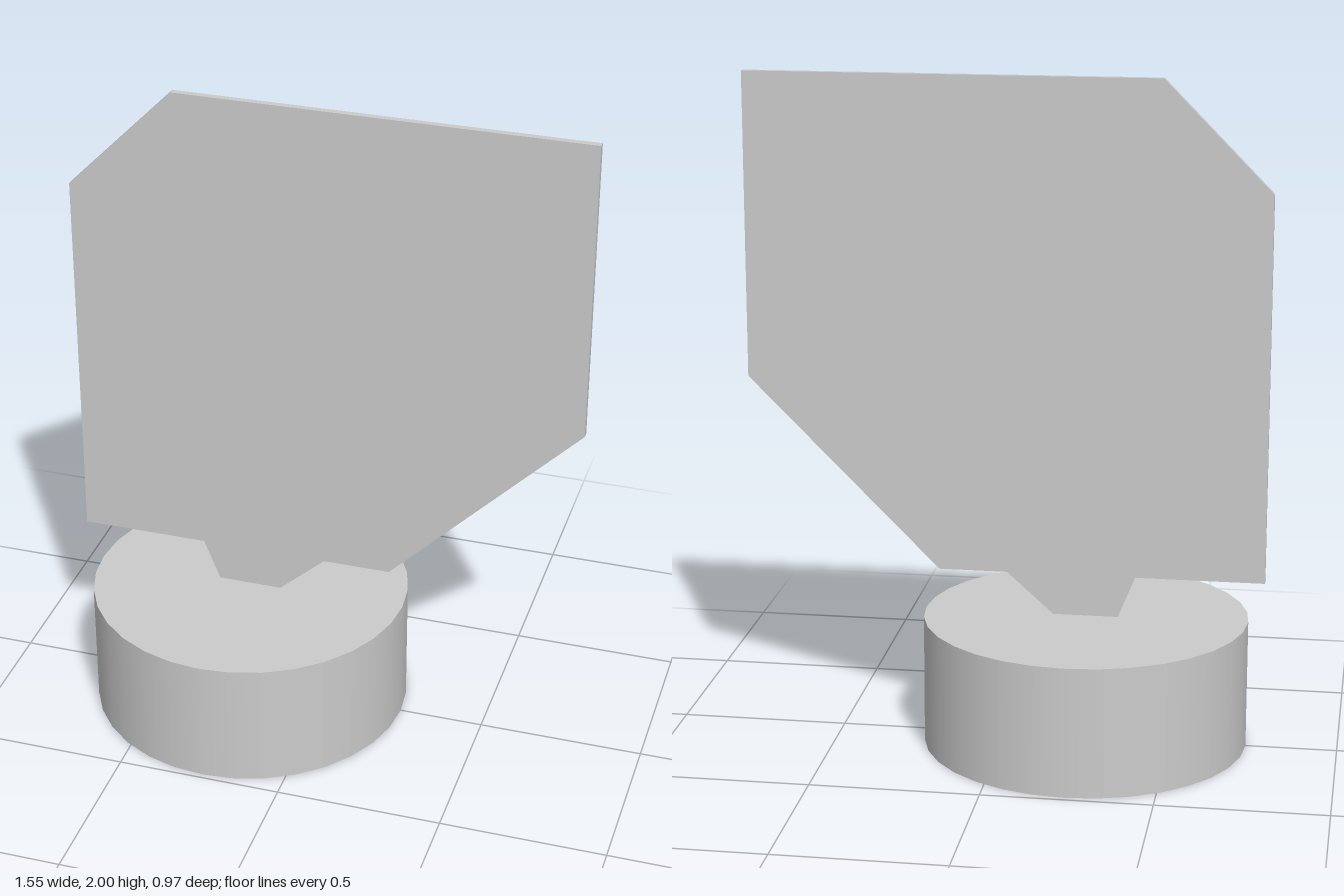
import * as THREE from 'three';

export function createModel() {
  const model = new THREE.Group();
  const grey = new THREE.MeshStandardMaterial({ color: 0xcccccc, side: THREE.DoubleSide });

  const radius = 0.485, height = 0.39, baseX = -0.243, sides = 32;

  // Hollow drum base, open underneath
  const wall = new THREE.Mesh(new THREE.CylinderGeometry(radius, radius, height, sides, 1, true), grey);
  wall.name = 'baseWall';
  wall.position.set(baseX, height / 2, 0);

  const lid = new THREE.Mesh(new THREE.CircleGeometry(radius, sides), grey);
  lid.name = 'baseTop';
  lid.rotation.x = -Math.PI / 2;
  lid.position.set(baseX, height, 0);

  // Thin upright panel with cut corners and a tapered foot
  const outline = [
    [-0.34, 0.39], [-0.145, 0.39], [-0.005, 0.515], [0.2, 0.515], [0.775, 1.09],
    [0.775, 2], [-0.455, 2], [-0.775, 1.675], [-0.775, 0.515], [-0.39, 0.515],
  ].map(([x, y]) => new THREE.Vector2(x, y));
  const depth = 0.02;
  const panelGeometry = new THREE.ExtrudeGeometry(new THREE.Shape(outline), { depth, bevelEnabled: false });
  panelGeometry.translate(0, 0, -depth / 2);
  const panel = new THREE.Mesh(panelGeometry, grey);
  panel.name = 'panel';

  model.add(wall, lid, panel);
  return model;
}
